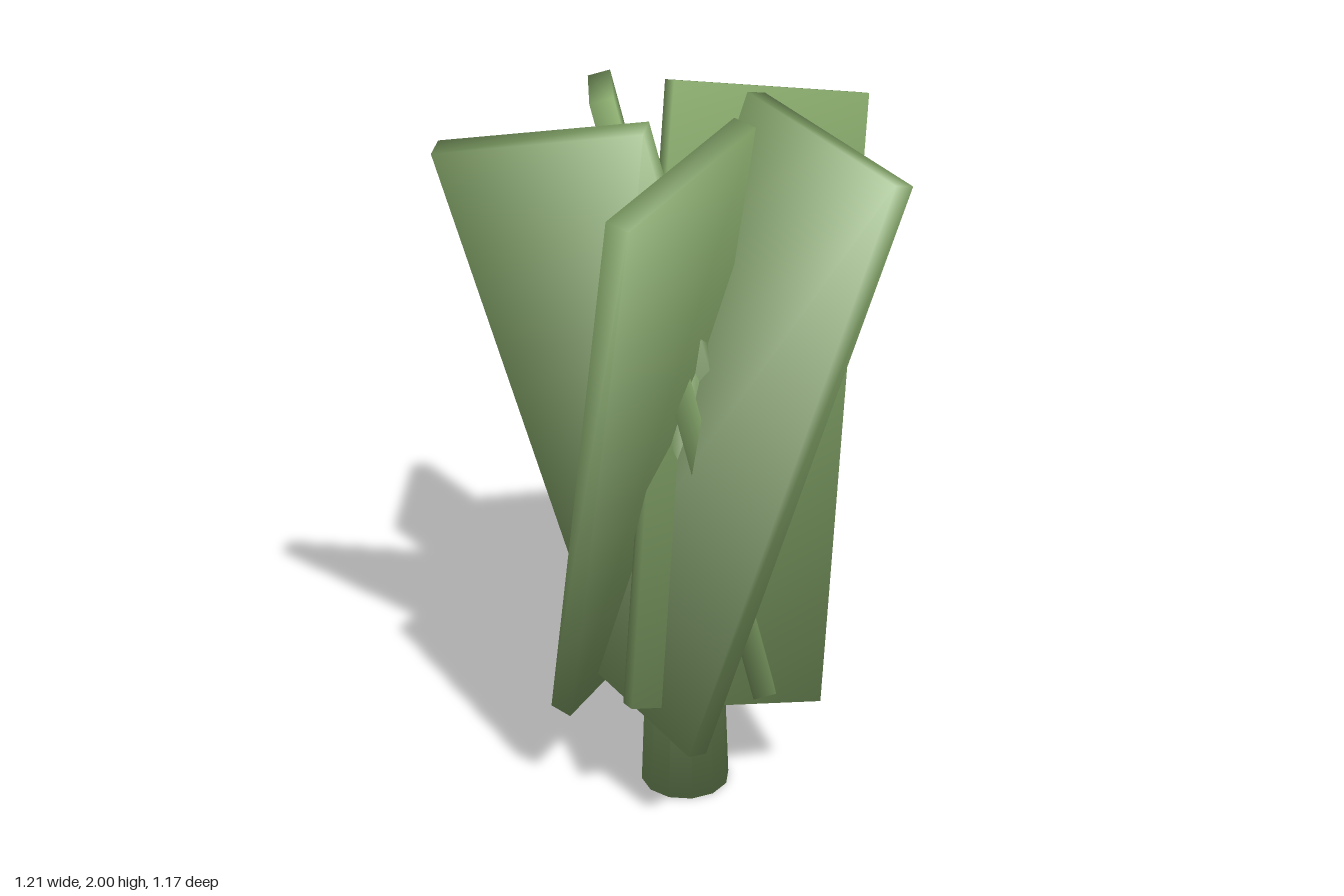
import * as THREE from 'three';

const material = new THREE.MeshStandardMaterial({ color: 0x87a96b });
const deg = THREE.MathUtils.degToRad;

// Soft shading: normals run diagonally through every edge and corner.
function softNormals(geometry, rule) {
  const p = geometry.attributes.position;
  const n = geometry.attributes.normal;
  const v = new THREE.Vector3();
  for (let i = 0; i < p.count; i++) {
    rule(v.fromBufferAttribute(p, i));
    v.normalize();
    n.setXYZ(i, v.x, v.y, v.z);
  }
  return geometry;
}

export function createModel() {
  const model = new THREE.Group();
  model.name = 'bladedRotor';

  // Tapered centre shaft
  const height = 1.72;
  const shaftGeometry = softNormals(
    new THREE.CylinderGeometry(0.059, 0.125, height, 12),
    (v) => {
      const r = Math.hypot(v.x, v.z) || 1;
      v.set(v.x / r, Math.sign(v.y), v.z / r);
    }
  );
  const shaft = new THREE.Mesh(shaftGeometry, material);
  shaft.name = 'shaft';
  shaft.position.set(0.01, height / 2, 0.05);
  model.add(shaft);

  // Five flat blades around the shaft, each tilted outward and sideways
  const bladeGeometry = softNormals(
    new THREE.BoxGeometry(0.56, 1.666, 0.063),
    (v) => v.set(Math.sign(v.x), Math.sign(v.y), Math.sign(v.z))
  );
  for (let i = 0; i < 5; i++) {
    const arm = new THREE.Group();
    arm.name = `bladeArm${i + 1}`;
    arm.position.set(0.01, 1.149, 0.05);
    arm.rotation.y = deg(72 * i);

    const blade = new THREE.Mesh(bladeGeometry, material);
    blade.name = `blade${i + 1}`;
    blade.position.x = 0.174;
    blade.rotation.set(deg(-14.25), 0, deg(-10), 'ZXY');
    arm.add(blade);
    model.add(arm);
  }

  return model;
}
